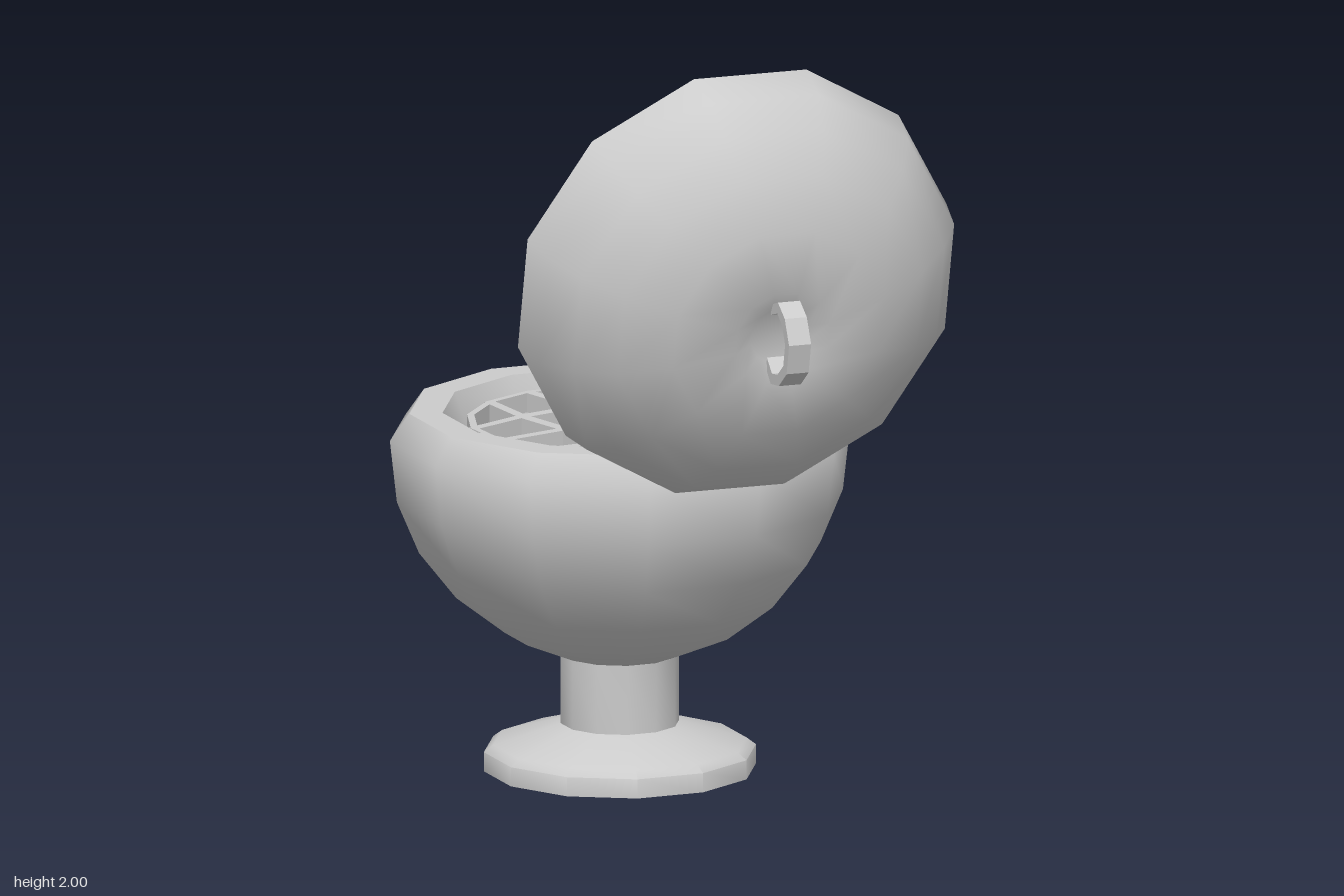
import * as THREE from 'three';
import { toCreasedNormals } from 'three/addons/utils/BufferGeometryUtils.js';

const grey = new THREE.MeshStandardMaterial({ color: 0xcccccc });
const greyThin = new THREE.MeshStandardMaterial({ color: 0xcccccc, side: THREE.DoubleSide });
const SIDES = 12;

function addMesh(parent, name, geometry, material = grey) {
  const mesh = new THREE.Mesh(geometry, material);
  mesh.name = name;
  parent.add(mesh);
  return mesh;
}

// Twelve-sided turned shape, smooth up to the crease angle; profile is [radius, y]
function turned(profile, crease, startAngle = 0) {
  const points = profile.map(([r, y]) => new THREE.Vector2(r, y));
  return toCreasedNormals(new THREE.LatheGeometry(points, SIDES, startAngle), crease);
}

// Lattice: a 3 x 3 grid of crossings whose outer bars bend onto a 16-point ring
function createGrate() {
  const grate = new THREE.Group();
  grate.name = 'grate';
  const R = 0.383, step = 0.177, height = 0.05;
  const ringPoint = (k) => {
    const a = (k * Math.PI) / 8;
    return [R * Math.cos(a), R * Math.sin(a)];
  };
  const bar = (name, [x0, z0], [x1, z1], width) => {
    const length = Math.hypot(x1 - x0, z1 - z0);
    const mesh = addMesh(grate, name, new THREE.BoxGeometry(length + width * 0.3, height, width));
    mesh.position.set((x0 + x1) / 2, 0, (z0 + z1) / 2);
    mesh.rotation.y = -Math.atan2(z1 - z0, x1 - x0);
  };
  for (let i = -1; i <= 1; i++) {
    const s = i * step;
    bar('grateBar', [-step, s], [step, s], 0.032);
    bar('grateBar', [s, -step], [s, step], 0.032);
    bar('grateEndBar', [step, s], ringPoint(i), 0.028);
    bar('grateEndBar', [-step, s], ringPoint(8 - i), 0.028);
    bar('grateEndBar', [s, step], ringPoint(4 - i), 0.028);
    bar('grateEndBar', [s, -step], ringPoint(12 + i), 0.028);
  }
  for (let k = 0; k < 16; k++) bar('grateRing', ringPoint(k), ringPoint(k + 1), 0.018);
  return grate;
}

// Small faceted loop standing on the top of the lid
function createHandle() {
  const outer = [[-0.085, 0], [-0.115, 0.05], [-0.095, 0.105], [-0.04, 0.15], [0.04, 0.15], [0.095, 0.105], [0.115, 0.05], [0.085, 0]];
  const inner = [[0.055, 0], [0.085, 0.052], [0.07, 0.09], [0.03, 0.123], [-0.03, 0.123], [-0.07, 0.09], [-0.085, 0.052], [-0.055, 0]];
  const shape = new THREE.Shape([...outer, ...inner].map(([x, y]) => new THREE.Vector2(x, y)));
  const geometry = new THREE.ExtrudeGeometry(shape, { depth: 0.06, bevelEnabled: false });
  geometry.translate(0, 0, -0.03);
  return geometry;
}

function createLid() {
  const lid = new THREE.Group();
  lid.name = 'lid';
  // Local +y points out of the opening; the first points form a dimple under the handle
  addMesh(lid, 'lidShell', turned([
    [0, -0.35], [0.08, -0.355], [0.13, -0.375], [0.29, -0.345], [0.42, -0.283], [0.51, -0.2],
    [0.57, -0.11], [0.589, 0], [0.537, 0.07], [0.457, 0.07],
    [0.42, -0.02], [0.3, -0.055], [0, -0.085],
  ], 0.72, Math.PI / 12));
  const handle = addMesh(lid, 'lidHandle', createHandle());
  handle.position.y = -0.345;
  handle.rotation.set(Math.PI, Math.PI / 2, 0, 'YXZ');

  // Swung open, leaning forward and slightly to one side
  const open = new THREE.Vector3(0.28, 0.228, -0.932).normalize();
  const up = new THREE.Vector3(0, 1, 0).addScaledVector(open, -open.y).normalize();
  const side = new THREE.Vector3().crossVectors(open, up);
  lid.quaternion.setFromRotationMatrix(new THREE.Matrix4().makeBasis(side, open, up));
  lid.position.set(-0.102, 1.442, 0.4);
  return lid;
}

export function createModel() {
  const model = new THREE.Group();
  model.name = 'lidded bowl on a foot';

  const body = new THREE.Group();
  body.name = 'body';
  body.position.set(0.072, 0, -0.298);
  model.add(body);

  // Bowl: outside, rim, then the hollow inside
  addMesh(body, 'bowl', turned([
    [0, 0.3], [0.15, 0.3], [0.295, 0.36], [0.42, 0.455], [0.515, 0.575], [0.572, 0.71], [0.59, 0.87],
    [0.54, 0.94], [0.455, 0.94], [0.425, 0.86], [0.385, 0.7], [0.33, 0.55], [0.25, 0.45], [0, 0.44],
  ], 0.92));

  // Hollow foot, open underneath
  addMesh(body, 'foot', turned([
    [0.349, 0], [0.349, 0.05], [0.325, 0.068], [0.152, 0.12], [0.152, 0.3],
  ], 0.92), greyThin);

  const grate = createGrate();
  grate.position.y = 0.885;
  body.add(grate);

  model.add(createLid());
  return model;
}
